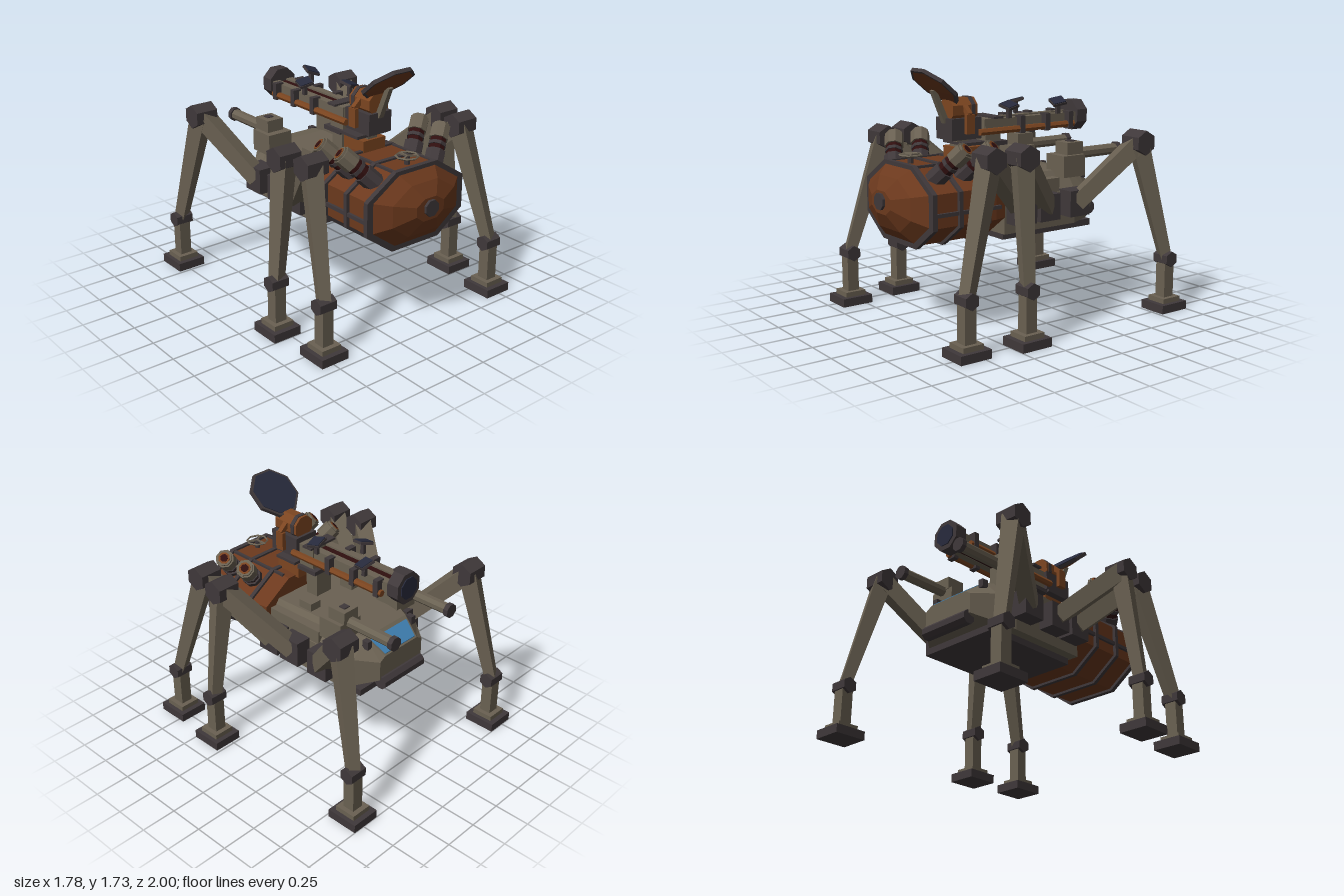
import * as THREE from 'three';

const mat = (name, color) => {
  const m = new THREE.MeshStandardMaterial({ color });
  m.name = name;
  return m;
};
const V = (x, y, z) => new THREE.Vector3(x, y, z);

export function createModel() {
  const root = new THREE.Group();
  root.name = 'walker';
  const grey = mat('drab grey', 0x6a6152);
  const dark = mat('dark metal', 0x3f383a);
  const rust = mat('rust', 0x6c391d);
  const copper = mat('copper', 0x7c4520);
  const maroon = mat('maroon', 0x300f0f);
  const navy = mat('navy panel', 0x272a3c);
  const blue = mat('window blue', 0x3f80b2);

  // faceted mesh helpers
  const add = (parent, name, geo, material, x = 0, y = 0, z = 0) => {
    const g = geo.index ? geo.toNonIndexed() : geo;
    g.computeVertexNormals();
    const m = new THREE.Mesh(g, material);
    m.name = name;
    m.position.set(x, y, z);
    parent.add(m);
    return m;
  };
  const box = (parent, name, material, x, y, z, w, h, d) =>
    add(parent, name, new THREE.BoxGeometry(w, h, d), material, x, y, z);
  // prism lying along x or z, turned so flats face up
  const prism = (parent, name, material, axis, sides, r, len, x, y, z) => {
    const g = new THREE.CylinderGeometry(r, r, len, sides);
    g.rotateY(Math.PI / sides);
    if (axis === 'x') g.rotateZ(Math.PI / 2);
    if (axis === 'z') g.rotateX(Math.PI / 2);
    return add(parent, name, g, material, x, y, z);
  };
  // tapered square beam between two points
  const beam = (parent, name, material, a, b, wa, wb) => {
    const g = new THREE.CylinderGeometry(wb * Math.SQRT1_2, wa * Math.SQRT1_2, a.distanceTo(b), 4);
    g.rotateY(Math.PI / 4).rotateX(Math.PI / 2);
    const m = add(parent, name, g, material);
    m.position.copy(a).add(b).multiplyScalar(0.5);
    m.lookAt(b);
    return m;
  };
  // skin over rings [z, points], back to front, counter-clockwise seen from +z
  const loft = (rings) => {
    const p = [];
    const n = rings[0][1].length;
    const put = (k, i) => p.push(...rings[k][1][i % n], rings[k][0]);
    for (let k = 0; k < rings.length - 1; k++)
      for (let i = 0; i < n; i++) {
        put(k, i); put(k, i + 1); put(k + 1, i + 1);
        put(k, i); put(k + 1, i + 1); put(k + 1, i);
      }
    for (let i = 1; i < n - 1; i++) {
      put(0, 0); put(0, i + 1); put(0, i);
      const e = rings.length - 1;
      put(e, 0); put(e, i); put(e, i + 1);
    }
    const g = new THREE.BufferGeometry();
    g.setAttribute('position', new THREE.Float32BufferAttribute(p, 3));
    return g;
  };

  // hull: wide chamfered box narrowing to a sloped cabin at the rear
  const hullRing = (w, yb, ym, wt, yt) =>
    [[w, yb], [w, ym], [wt, yt], [-wt, yt], [-w, ym], [-w, yb]];
  add(root, 'hull', loft([
    [-0.64, hullRing(0.21, 0.7, 0.84, 0.16, 0.87)],
    [-0.5, hullRing(0.32, 0.645, 0.85, 0.2, 0.97)],
    [-0.36, hullRing(0.36, 0.625, 0.86, 0.25, 0.995)],
    [0.25, hullRing(0.36, 0.625, 0.86, 0.27, 0.995)],
  ]), grey);
  add(root, 'cabinWindow', loft([
    [-0.63, [[0.15, 0.872], [0.15, 0.882], [-0.15, 0.882], [-0.15, 0.872]]],
    [-0.525, [[0.18, 0.947], [0.18, 0.957], [-0.18, 0.957], [-0.18, 0.947]]],
  ]), blue);
  box(root, 'bellyPlate', dark, 0, 0.598, -0.165, 0.6, 0.046, 0.77);
  prism(root, 'rearBumper', dark, 'x', 8, 0.05, 0.4, 0, 0.675, -0.635);

  // details mirrored on both sides of the hull, with the rear guns
  for (const s of [-1, 1]) {
    box(root, 'sidePanel', grey, s * 0.315, 0.9, 0.01, 0.085, 0.12, 0.46);
    box(root, 'deckBox', grey, s * 0.2, 1.02, 0.015, 0.09, 0.06, 0.11);
    box(root, 'rearLamp', dark, s * 0.22, 0.94, -0.53, 0.04, 0.06, 0.05);
    const gun = new THREE.Group();
    gun.name = 'rearGun';
    gun.position.set(s * 0.28, 0, 0);
    root.add(gun);
    box(gun, 'gunBase', grey, 0, 1.03, -0.34, 0.19, 0.15, 0.19);
    box(gun, 'gunHousing', grey, 0, 1.145, -0.37, 0.13, 0.09, 0.14);
    box(gun, 'gunHatch', dark, 0, 1.193, -0.38, 0.05, 0.008, 0.05);
    prism(gun, 'gunBarrel', grey, 'z', 8, 0.04, 0.4, 0, 1.1, -0.6);
    prism(gun, 'gunMuzzle', dark, 'z', 8, 0.05, 0.035, 0, 1.1, -0.808);
  }

  // large tank: long octagon with faceted nose
  const oct = (s, w = 0.39) => [[w, -0.11], [w, 0.11], [0.165, 0.255], [-0.165, 0.255],
    [-w, 0.11], [-w, -0.11], [-0.19, -0.255], [0.19, -0.255]]
    .map(([x, y]) => [x * s, 0.855 + y * s + (1 - s) * 0.03]);
  add(root, 'tank', loft([[0.26, oct(0.97)], [0.34, oct(1)], [0.83, oct(1)],
    [0.92, oct(0.68)], [0.98, oct(0.3)]]), rust);
  prism(root, 'noseCap', dark, 'z', 8, 0.058, 0.05, 0, 0.883, 0.975);
  for (const [z, d] of [[0.41, 0.03], [0.63, 0.03], [0.83, 0.035]])
    add(root, 'tankStrap', loft([[z - d / 2, oct(1.06)], [z + d / 2, oct(1.06)]]), dark);
  for (const s of [-1, 1]) {
    box(root, 'tankRail', dark, s * 0.395, 0.83, 0.57, 0.03, 0.025, 0.52);
    box(root, 'tankTopRail', dark, s * 0.165, 1.11, 0.57, 0.02, 0.02, 0.52);
  }

  // valve wheel on top of the tank
  const ring = new THREE.TorusGeometry(0.075, 0.008, 4, 8).rotateX(Math.PI / 2);
  add(root, 'valveRing', ring, grey, 0, 1.165, 0.75);
  prism(root, 'valveStem', dark, 'y', 8, 0.02, 0.07, 0, 1.13, 0.75);
  for (let i = 0; i < 3; i++) {
    const a = i * Math.PI * 2 / 3;
    beam(root, 'valveSpoke', grey, V(0, 1.165, 0.75),
      V(Math.sin(a) * 0.07, 1.165, 0.75 - Math.cos(a) * 0.07), 0.012, 0.012);
  }

  // four angled launchers on the tank shoulders
  for (const s of [-1, 1]) for (const z of [0.41, 0.62]) {
    const l = new THREE.Group();
    l.name = 'launcher';
    l.position.set(s * 0.42, 1.22, z);
    l.quaternion.setFromUnitVectors(V(0, 1, 0), V(s * 0.62, 0.68, -0.4).normalize());
    root.add(l);
    const seg = (name, m, r, y0, y1) => prism(l, name, m, 'y', 8, r, y1 - y0, 0, (y0 + y1) / 2, 0);
    seg('launcherBase', dark, 0.068, -0.32, -0.17);
    seg('launcherNeck', maroon, 0.055, -0.17, -0.08);
    seg('launcherCollar', dark, 0.062, -0.135, -0.11);
    seg('launcherHead', grey, 0.066, -0.08, 0.02);
    seg('launcherRim', grey, 0.055, 0.02, 0.035);
    seg('launcherBore', copper, 0.042, 0.035, 0.039);
    seg('launcherCore', maroon, 0.028, 0.039, 0.042);
  }

  // main gun pointing to the rear
  const gun = new THREE.Group();
  gun.name = 'mainGun';
  root.add(gun);
  box(gun, 'gunColumn', grey, 0, 1.09, 0.125, 0.14, 0.22, 0.1);
  box(gun, 'columnPlate', dark, 0, 1.2, 0.13, 0.24, 0.03, 0.17);
  box(gun, 'gunBreech', grey, 0, 1.29, 0.15, 0.19, 0.16, 0.13);
  box(gun, 'breechCover', dark, 0, 1.375, 0.12, 0.24, 0.015, 0.08);
  for (const s of [-1, 1]) {
    box(gun, 'gunBeam', grey, s * 0.058, 1.32, -0.19, 0.055, 0.085, 0.82);
    prism(gun, 'gunPipe', copper, 'z', 6, 0.024, 0.82, s * 0.108, 1.285, -0.14);
    for (const z of [-0.51, -0.3, -0.08])
      box(gun, 'pipeClamp', dark, s * 0.1, 1.315, z, 0.065, 0.12, 0.04);
  }
  box(gun, 'gunCore', maroon, 0, 1.315, -0.18, 0.062, 0.07, 0.84);
  prism(gun, 'muzzle', dark, 'z', 8, 0.115, 0.09, 0, 1.335, -0.635);
  prism(gun, 'muzzleFace', navy, 'z', 8, 0.08, 0.008, 0, 1.335, -0.683);

  // small tilted panels along the gun
  for (const [x, z, a] of [[0.115, -0.4, 0.3], [-0.105, -0.19, 0.25], [0.115, 0.03, -0.15]]) {
    const p = new THREE.Group();
    p.name = 'sensorPanel';
    p.position.set(x, 1.45, z);
    p.rotation.set(0.2, -a, x > 0 ? -0.3 : 0.3);
    root.add(p);
    box(p, 'panelFrame', dark, 0, 0, 0, 0.1, 0.018, 0.1);
    box(p, 'panelFace', navy, 0, 0.012, 0, 0.09, 0.006, 0.09);
    box(root, 'panelStem', dark, x, 1.405, z, 0.025, 0.08, 0.03);
  }

  // sensor head above the tank
  box(root, 'headNeck', copper, 0, 1.14, 0.33, 0.19, 0.1, 0.2);
  box(root, 'headPost', grey, 0, 1.19, 0.36, 0.08, 0.14, 0.1);
  box(root, 'headPlate', dark, 0, 1.215, 0.32, 0.26, 0.02, 0.18);
  box(root, 'headBox', dark, 0, 1.315, 0.365, 0.19, 0.145, 0.24);
  prism(root, 'headDrum', copper, 'z', 8, 0.085, 0.2, 0, 1.44, 0.365);
  prism(root, 'drumBand', dark, 'z', 8, 0.09, 0.03, 0, 1.44, 0.3);
  for (const s of [-1, 1]) {
    box(root, 'headArm', copper, s * 0.127, 1.35, 0.365, 0.03, 0.13, 0.065);
    beam(root, 'headBrace', copper, V(s * 0.127, 1.41, 0.365), V(s * 0.07, 1.46, 0.365), 0.035, 0.035);
  }

  // octagonal dish facing up and back
  beam(root, 'dishStrut', grey, V(0, 1.36, 0.475), V(0, 1.58, 0.57), 0.04, 0.035);
  const dish = new THREE.Group();
  dish.name = 'dish';
  dish.position.set(0, 1.605, 0.555);
  dish.rotation.x = -0.695;
  root.add(dish);
  prism(dish, 'dishRim', dark, 'y', 8, 0.188, 0.026, 0, 0, 0);
  prism(dish, 'dishFace', navy, 'y', 8, 0.17, 0.008, 0, 0.014, 0);
  add(dish, 'dishBack', new THREE.CylinderGeometry(0.175, 0.06, 0.018, 8).rotateY(Math.PI / 8),
    rust, 0, -0.021, 0);

  // six legs: hip, knee, ankle
  const legs = [
    ['frontLeg', [0.43, 0.79, 0.15], [0.643, 1.2, 0.58], [0.735, 0.37, 0.82]],
    ['middleLeg', [0.43, 0.79, -0.05], [0.686, 1.2, 0.355], [0.785, 0.37, 0.385]],
    ['rearLeg', [0.43, 0.79, -0.31], [0.638, 1.2, -0.685], [0.73, 0.37, -0.885]],
  ];
  for (const s of [-1, 1]) for (const [name, h, k, a] of legs) {
    const leg = new THREE.Group();
    leg.name = name;
    root.add(leg);
    const [hip, knee, ankle] = [h, k, a].map(([x, y, z]) => V(s * x, y, z));
    box(leg, 'hip', dark, s * 0.41, 0.79, hip.z, 0.13, 0.18, 0.17);
    beam(leg, 'upperLeg', grey, hip, knee, 0.11, 0.12);
    prism(leg, 'knee', dark, 'x', 6, 0.085, 0.165, 0, 0, 0).position.copy(knee);
    beam(leg, 'lowerLeg', grey, knee, ankle, 0.12, 0.075);
    prism(leg, 'ankle', dark, 'x', 6, 0.056, 0.13, 0, 0, 0).position.copy(ankle);
    box(leg, 'shin', grey, ankle.x, 0.215, ankle.z, 0.085, 0.27, 0.085);
    box(leg, 'footStep', grey, ankle.x, 0.075, ankle.z, 0.15, 0.04, 0.155);
    box(leg, 'foot', dark, ankle.x, 0.03, ankle.z, 0.21, 0.06, 0.23);
  }
  return root;
}
